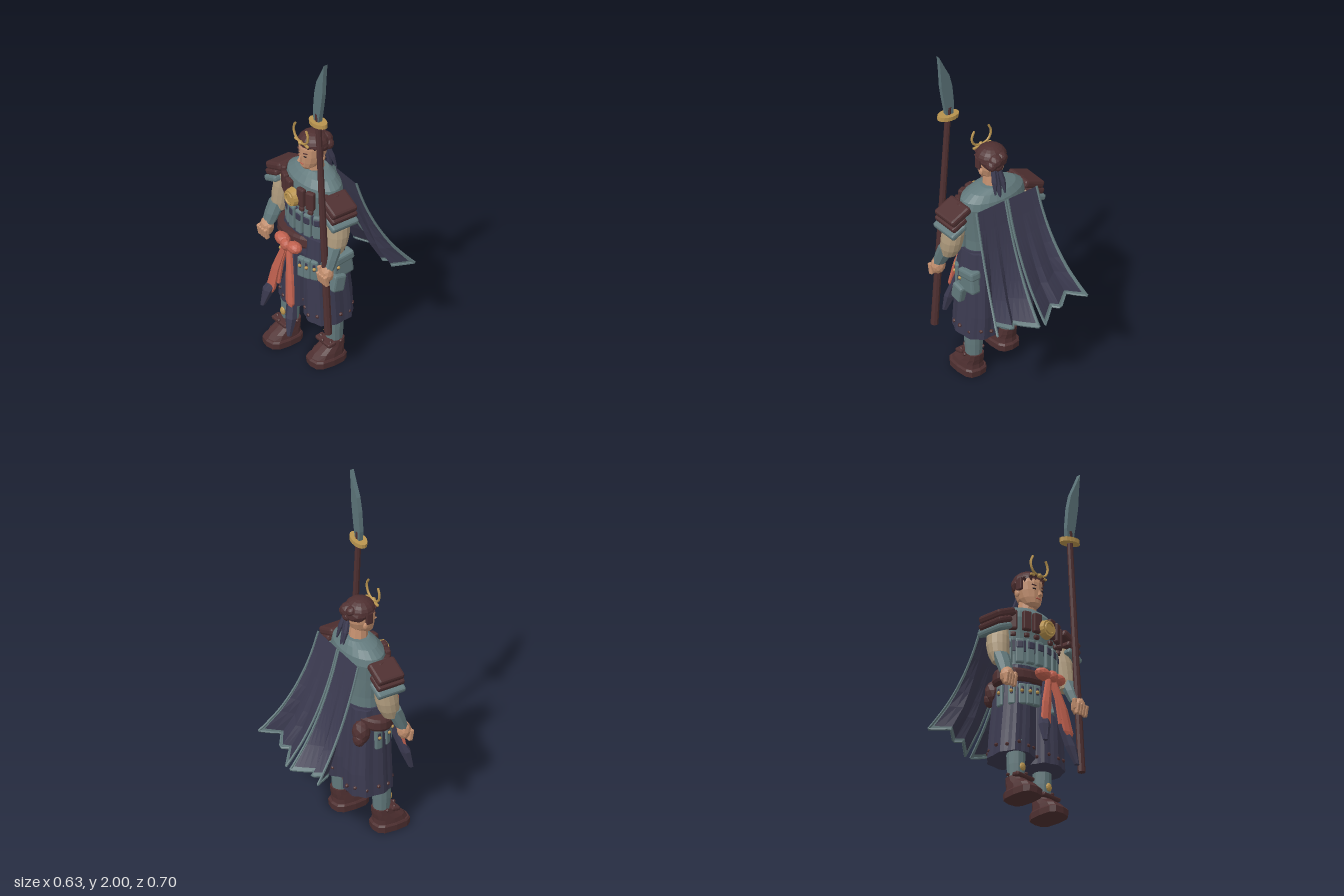
import * as THREE from 'three';
import { RoundedBoxGeometry } from 'three/addons/geometries/RoundedBoxGeometry.js';

const paint = (name, color) => {
  const m = new THREE.MeshStandardMaterial({ color, side: THREE.DoubleSide });
  m.name = name;
  return m;
};
const M = {
  teal: paint('teal cloth', 0x637a7d), navy: paint('navy cloth', 0x3b3a50),
  brown: paint('brown leather', 0x4f3031), skin: paint('skin', 0xc4906f),
  beige: paint('beige sleeve', 0xb09c7e), red: paint('red sash', 0xc0614f),
  gold: paint('gold', 0xb9944f), steel: paint('steel', 0x5b7378), dark: paint('dark', 0x2c2226),
};

// Faceted mesh helper
function add(parent, name, geo, mat, pos = [0, 0, 0], rot = [0, 0, 0], scale = [1, 1, 1]) {
  const g = geo.index ? geo.toNonIndexed() : geo;
  g.computeVertexNormals();
  const m = new THREE.Mesh(g, mat);
  m.name = name;
  m.position.set(...pos);
  m.rotation.set(...rot);
  m.scale.set(...scale);
  parent.add(m);
  return m;
}
const box = (w, h, d, r = 0.008) => new RoundedBoxGeometry(w, h, d, 1, Math.min(r, w / 3, h / 3, d / 3));
const ball = (r, d = 1) => new THREE.IcosahedronGeometry(r, d);
const curve = (points) => new THREE.CatmullRomCurve3(points.map((p) => new THREE.Vector3(...p)), false, 'centripetal');

// Closed solid through horizontal sections [y, centreX, centreZ, radiusX, radiusZ]
function loft(sections, n = 12, power = 1, pleat = 0, pleats = 9) {
  const rings = [...sections].sort((a, b) => a[0] - b[0]);
  const bend = (v) => Math.sign(v) * Math.abs(v) ** power;
  const pos = [], idx = [];
  for (const [y, cx, cz, rx, rz] of rings) {
    for (let j = 0; j < n; j++) {
      const t = (j / n) * Math.PI * 2, k = 1 + pleat * Math.cos(t * pleats);
      pos.push(cx + rx * k * bend(Math.sin(t)), y, cz + rz * k * bend(Math.cos(t)));
    }
  }
  const last = (rings.length - 1) * n, low = rings.length * n;
  for (const r of [rings[0], rings[rings.length - 1]]) pos.push(r[1], r[0], r[2]);
  for (let j = 0; j < n; j++) {
    const k = (j + 1) % n;
    for (let i = 0; i < last; i += n) idx.push(i + j, i + k, i + n + k, i + j, i + n + k, i + n + j);
    idx.push(low, k, j, low + 1, last + j, last + k);
  }
  return surface(pos, idx);
}

function surface(pos, idx) {
  const g = new THREE.BufferGeometry();
  g.setAttribute('position', new THREE.Float32BufferAttribute(pos, 3));
  g.setIndex(idx);
  return g;
}

// Cloth sheet sampled at the given columns and rows
function sheet(us, vs, f) {
  const pos = [], idx = [], w = us.length;
  for (const v of vs) for (const u of us) pos.push(...f(u, v));
  for (let i = 0; i < vs.length - 1; i++) for (let j = 0; j < w - 1; j++) {
    const a = i * w + j;
    idx.push(a, a + 1, a + w + 1, a, a + w + 1, a + w);
  }
  return surface(pos, idx);
}

// Position and turn on an ellipse around the body, given the sine of the angle
function around(s, y, rx, rz, cz = 0.08) {
  const c = Math.sqrt(Math.max(0, 1 - s * s));
  return [[rx * s, y, cz + rz * c], [0, Math.atan2(s / rx, c / rz), 0]];
}

// Cape half: deep folds that swing less far back than the two outer corners
function cape(root, s) {
  const swing = [[0, 1], [0.38, 0.72], [0.5, 0.84], [0.77, 0.67], [1, 1]];
  const reach = (u) => {
    const i = Math.max(1, swing.findIndex((h) => u <= h[0])), [a, b] = [swing[i - 1], swing[i]];
    return a[1] + ((b[1] - a[1]) * (u - a[0])) / (b[0] - a[0]);
  };
  const point = (u, t) => {
    const r = reach(u), k = 1 + (r - 1) * Math.min(1, t * 1.4), drop = 1 - 0.1 * u * u - 0.06 * (1 - r);
    const inner = 0.008 + 0.012 * t * t, outer = 0.2 + 0.03 * t + 0.068 * t * t;
    return [s * (inner + (outer - inner) * u), 1.1 - (0.82 * t - 0.18 * t * t) * drop, -0.045 - (0.2 * t + 0.107 * t * t) * k];
  };
  const mid = [0.03, 0.1, 0.18, 0.28, 0.38, 0.44, 0.5, 0.6, 0.69, 0.77, 0.86, 0.965];
  const rows = [0, 0.15, 0.3, 0.45, 0.6, 0.75, 0.965];
  add(root, 'capePanel', sheet(mid, rows, point), M.navy);
  add(root, 'capeHem', sheet(mid, [0.965, 1], point), M.teal);
  add(root, 'capeInnerEdge', sheet([0, 0.03], [...rows, 1], point), M.teal);
  add(root, 'capeOuterEdge', sheet([0.965, 1], [...rows, 1], point), M.teal);
  for (const path of [rows.map((v) => point(0, v)).concat([point(0, 1)]), rows.map((v) => point(1, v)).concat([point(1, 1)]),
    [0, ...mid, 1].map((u) => point(u, 1))]) add(root, 'capePiping', new THREE.TubeGeometry(curve(path), 20, 0.007, 5), M.teal);
}

function side(root, s) {
  // Leg and shoe; the right foot stands forward
  const x = s * 0.14, z = s > 0 ? 0.055 : 0.135;
  add(root, 'shin', loft([[0.08, x, z, 0.042, 0.042], [0.2, x, z, 0.05, 0.05], [0.34, x, z, 0.053, 0.055]]), M.teal);
  add(root, 'sole', loft([[0, x, z + 0.05, 0.072, 0.105], [0.035, x, z + 0.05, 0.074, 0.108], [0.045, x, z + 0.05, 0.068, 0.1]], 12, 0.65), M.brown);
  add(root, 'shoe', loft([[0.04, x, z + 0.05, 0.066, 0.098], [0.07, x, z + 0.04, 0.062, 0.085],
    [0.1, x, z + 0.012, 0.055, 0.062], [0.13, x, z, 0.05, 0.052]], 12, 0.75), M.brown);
  add(root, 'shoeFlap', box(0.125, 0.022, 0.05), M.brown, [x, 0.125, z + 0.055], [0.2, 0, 0]);
  for (let i = 0; i < 5; i++) {
    const t = (i / 4 - 0.5) * Math.PI;
    add(root, 'ankleBead', ball(0.011, 0), M.brown, [x + 0.06 * Math.sin(t), 0.135, z + 0.075 * Math.cos(t)]);
  }
  add(root, 'shinStud', ball(0.022), M.gold, [x, 0.185, z + 0.05], [0, 0, 0], [0.9, 1.1, 0.5]);

  // Pleated trouser leg with studs near the hem
  add(root, 'trouserLeg', loft([[0.27, s * 0.112, 0.07, 0.11, 0.128], [0.4, s * 0.106, 0.07, 0.105, 0.128],
    [0.6, s * 0.098, 0.078, 0.098, 0.118], [0.78, s * 0.088, 0.08, 0.092, 0.1]], 36, 0.85, 0.04, 9), M.navy);
  for (let i = 0; i < 12; i++) {
    const t = (i / 12) * Math.PI * 2;
    add(root, 'hemStud', ball(0.012, 0), M.brown, [s * 0.112 + 0.108 * Math.sin(t), 0.31 + 0.012 * (i % 2), 0.07 + 0.13 * Math.cos(t)]);
  }

  // Arm, bracer and hand
  add(root, 'upperArm', loft([[0.77, s * 0.249, 0.127, 0.042, 0.044], [0.82, s * 0.247, 0.113, 0.055, 0.058], [0.87, s * 0.245, 0.105, 0.059, 0.064],
    [0.92, s * 0.24, 0.1, 0.058, 0.064], [1.0, s * 0.225, 0.095, 0.045, 0.05]], 14), M.beige);
  add(root, 'bracer', loft([[0.69, s * 0.264, 0.185, 0.038, 0.034], [0.75, s * 0.258, 0.162, 0.045, 0.042],
    [0.812, s * 0.255, 0.135, 0.047, 0.045]], 8), M.teal);
  add(root, 'palm', ball(0.047), M.skin, [s * 0.267, 0.665, 0.195], [0, 0, 0], [0.88, 1.15, 0.8]);
  for (let i = 0; i < 4; i++) {
    add(root, 'finger', box(0.02, 0.065, 0.026), M.skin, [s * (0.237 + i * 0.02), 0.638, 0.22], [0.2, 0, 0]);
  }
  add(root, 'thumb', box(0.02, 0.06, 0.024), M.skin, [s * 0.228, 0.665, 0.21], [0, 0, s * 0.2]);

  // Layered shoulder guard
  add(root, 'shoulderPlate', box(0.135, 0.045, 0.16, 0.014), M.brown, [s * 0.243, 1.05, 0.1], [0, 0, -s * 0.42]);
  add(root, 'shoulderLowerPlate', box(0.1, 0.035, 0.165, 0.012), M.brown, [s * 0.257, 1.005, 0.1], [0, 0, -s * 0.42]);
  add(root, 'shoulderLining', box(0.105, 0.035, 0.17, 0.012), M.teal, [s * 0.262, 0.962, 0.1], [0, 0, -s * 0.42]);

  // Chest plates, ribs and hip tassets
  for (const q of [0.26, 0.55, 0.86, 0.99]) {
    add(root, 'chestPlate', box(0.05, 0.11, 0.03), M.brown, ...around(s * q, 1.035, 0.205, 0.13));
    add(root, 'chestLoop', box(0.03, 0.025, 0.022), M.brown, ...around(s * q, 0.957, 0.197, 0.125));
  }
  for (const q of [0.17, 0.48, 0.76, 0.97]) {
    add(root, 'ribPlate', box(0.046, 0.14, 0.024), M.teal, ...around(s * q, 0.865, 0.178, 0.122));
    add(root, 'ribTie', box(0.04, 0.045, 0.03), M.navy, ...around(s * q, 0.898, 0.178, 0.122));
  }
  for (const q of [0.36, 0.54, 0.72, 0.9, 1]) {
    add(root, 'tasset', box(0.042, 0.12, 0.03), M.teal, ...around(s * q, 0.605, 0.196, 0.145));
    add(root, 'tassetPanel', box(0.022, 0.05, 0.034), M.navy, ...around(s * q, 0.625, 0.196, 0.145));
    add(root, 'tassetStud', ball(0.01), M.gold, ...around(s * q, 0.62, 0.213, 0.163));
  }

  // Sash loop and hanging tails
  add(root, 'sashLoop', ball(0.05), M.red, [s * 0.052, 0.728, 0.25], [0, 0, s * 0.12], [1.05, 0.66, 0.75]);
  add(root, 'sashTail', loft([[0.39, s * 0.088, 0.3, 0.02, 0.012], [0.42, s * 0.085, 0.3, 0.036, 0.014],
    [0.55, s * 0.062, 0.285, 0.031, 0.016], [0.72, s * 0.015, 0.255, 0.018, 0.014]], 6), M.red);
  add(root, 'sashInnerTail', loft([[0.46, s * 0.045, 0.28, 0.012, 0.01], [0.6, s * 0.035, 0.27, 0.018, 0.012],
    [0.71, s * 0.01, 0.25, 0.015, 0.012]], 6), M.red);
  const drop = s > 0 ? 0.235 : 0.3;
  add(root, 'navyTail', loft([[drop, s * 0.118, 0.33, 0.014, 0.014], [drop + 0.1, s * 0.1, 0.305, 0.036, 0.03],
    [0.5, s * 0.06, 0.265, 0.032, 0.016], [0.7, s * 0.02, 0.23, 0.014, 0.012]], 6), M.navy);

  // Face and hair on this side
  add(root, 'ear', ball(0.02), M.skin, [s * 0.073, 1.245, 0.08], [0, 0, 0], [0.5, 1.1, 0.8]);
  add(root, 'eye', box(0.02, 0.007, 0.006), M.dark, [s * 0.029, 1.26, 0.163], [0, s * 0.3, 0]);
  add(root, 'brow', box(0.028, 0.006, 0.006), M.brown, [s * 0.031, 1.28, 0.163], [0, s * 0.3, s * 0.15]);
  add(root, 'sideburn', box(0.018, 0.07, 0.04), M.brown, [s * 0.076, 1.29, 0.1]);
  for (let i = 0; i < 3; i++) {
    add(root, 'fringeLock', new THREE.ConeGeometry(0.016, 0.032, 5), M.brown,
      [s * (0.02 + i * 0.021), 1.322 - i * 0.006, 0.16 - i * i * 0.009], [Math.PI, 0, s * 0.25]);
  }
  const horn = curve([[0.012, 1.34], [0.04, 1.35], [0.06, 1.378], [0.062, 1.41], [0.048, 1.44]].map(([hx, hy]) => [s * hx, hy, 0.17]));
  add(root, 'crestHorn', new THREE.TubeGeometry(horn, 10, 0.007, 5), M.gold);
}

export function createModel() {
  const root = new THREE.Group();
  root.name = 'armouredWarrior';

  // Torso, neck and belt
  add(root, 'torso', loft([[0.7, 0, 0.08, 0.165, 0.1], [0.85, 0, 0.08, 0.17, 0.103], [0.97, 0, 0.08, 0.187, 0.108],
    [1.06, 0, 0.08, 0.2, 0.117], [1.1, 0, 0.08, 0.188, 0.11], [1.135, 0, 0.075, 0.14, 0.085], [1.155, 0, 0.07, 0.075, 0.062]], 24), M.teal);
  add(root, 'chestBand', loft([[0.868, 0, 0.09, 0.172, 0.107], [0.928, 0, 0.09, 0.179, 0.109]], 24), M.navy);
  add(root, 'neck', loft([[1.12, 0, 0.075, 0.056, 0.052], [1.23, 0, 0.085, 0.046, 0.046]], 10), M.skin);
  add(root, 'waistWrap', loft([[0.665, 0, 0.08, 0.188, 0.118], [0.79, 0, 0.08, 0.178, 0.106]], 24), M.navy);
  add(root, 'belt', loft([[0.69, 0, 0.1, 0.184, 0.112], [0.705, 0, 0.1, 0.19, 0.12], [0.745, 0, 0.1, 0.187, 0.116], [0.76, 0, 0.1, 0.178, 0.106]], 24), M.brown, [0, 0, 0], [0, 0, 0.08]);
  add(root, 'sashKnot', ball(0.034), M.red, [0, 0.725, 0.268], [0, 0, 0], [1, 1, 0.8]);
  for (const s of [-1, 1]) {
    side(root, s);
    cape(root, s);
  }

  // Chest medallion
  add(root, 'medallion', new THREE.CylinderGeometry(0.045, 0.054, 0.035, 16), M.gold, [0, 1.012, 0.228], [Math.PI / 2, 0, 0]);
  add(root, 'medallionRing', new THREE.TorusGeometry(0.03, 0.006, 6, 16, 5), M.gold, [0, 1.012, 0.248], [0, 0, 0.6]);

  // Head
  add(root, 'head', loft([[1.168, 0, 0.128, 0.022, 0.024], [1.185, 0, 0.114, 0.044, 0.05], [1.215, 0, 0.1, 0.06, 0.068],
    [1.255, 0, 0.092, 0.07, 0.078], [1.3, 0, 0.09, 0.073, 0.08], [1.345, 0, 0.09, 0.065, 0.07]], 14), M.skin);
  add(root, 'nose', new THREE.ConeGeometry(0.014, 0.045, 4), M.skin, [0, 1.245, 0.172], [-0.25, Math.PI / 4, 0]);
  add(root, 'mouth', box(0.034, 0.007, 0.008), M.red, [0, 1.208, 0.165]);
  add(root, 'hairCap', new THREE.SphereGeometry(0.086, 14, 6, 0, Math.PI * 2, 0, Math.PI / 2), M.brown, [0, 1.317, 0.088], [0, 0, 0], [1, 0.74, 0.96]);
  add(root, 'hairBack', ball(0.08), M.brown, [0, 1.305, 0.068], [0, 0, 0], [1, 0.72, 0.9]);

  // Bun and ponytail
  for (const [x, y, z, r] of [[0.02, 1.318, 0.026, 0.042], [-0.02, 1.33, 0.024, 0.03], [0.045, 1.3, 0.024, 0.032], [0.01, 1.288, 0.018, 0.03]])
    add(root, 'hairBun', ball(r), M.brown, [x, y, z]);
  for (const [x, y] of [[-0.008, 1.13], [0.018, 1.09], [0.045, 1.14]]) {
    add(root, 'ponytailLock', loft([[y, x * 1.2, -0.02, 0.005, 0.005], [y + 0.07, x, -0.002, 0.017, 0.014],
      [1.28, x * 0.6 + 0.01, 0.02, 0.014, 0.012]], 6), M.navy);
  }

  // Crest band
  add(root, 'crestBand', box(0.12, 0.012, 0.014), M.gold, [0, 1.336, 0.164]);
  add(root, 'crestBoss', ball(0.013), M.gold, [0, 1.34, 0.172]);

  // Polearm
  const foot = new THREE.Vector3(0.288, 0.29, 0.2), top = new THREE.Vector3(0.195, 1.65, 0.2);
  const shaft = add(root, 'polearmShaft', new THREE.CylinderGeometry(0.016, 0.021, foot.distanceTo(top), 8), M.brown,
    foot.clone().add(top).multiplyScalar(0.5).toArray());
  shaft.rotation.z = Math.atan2(foot.x - top.x, top.y - foot.y);
  add(root, 'polearmGuard', new THREE.CylinderGeometry(0.066, 0.066, 0.024, 16), M.gold, [0.198, 1.594, 0.2], [0, 0, 0.1], [1, 1, 0.58]);
  const edge = [[0.172, 1.6], [0.215, 1.6], [0.234, 1.7], [0.25, 1.8], [0.256, 1.9], [0.265, 2], [0.232, 1.93], [0.197, 1.86], [0.178, 1.78], [0.166, 1.66]];
  const blade = new THREE.Shape(edge.map(([x, y]) => new THREE.Vector2(x, y)));
  add(root, 'polearmBlade', new THREE.ExtrudeGeometry(blade, { depth: 0.024, bevelEnabled: false }), M.steel, [0, 0, 0.188]);

  // Hip pouches
  add(root, 'leftPouch', box(0.06, 0.13, 0.11, 0.014), M.teal, [0.182, 0.615, 0.035], [0.15, 0, 0]);
  add(root, 'leftPouchFlap', box(0.066, 0.05, 0.12, 0.012), M.teal, [0.184, 0.66, 0.035], [0.15, 0, 0]);
  add(root, 'leftLowerPouch', box(0.055, 0.1, 0.075, 0.012), M.teal, [0.21, 0.53, 0.085], [-0.2, 0, 0]);
  add(root, 'rightPouch', ball(0.056), M.brown, [-0.165, 0.66, -0.005], [0, 0.4, 0], [0.9, 1.25, 0.85]);
  add(root, 'rightPouchPocket', ball(0.036), M.brown, [-0.175, 0.625, -0.025], [0, 0.4, 0], [1, 1.2, 0.8]);
  return root;
}
